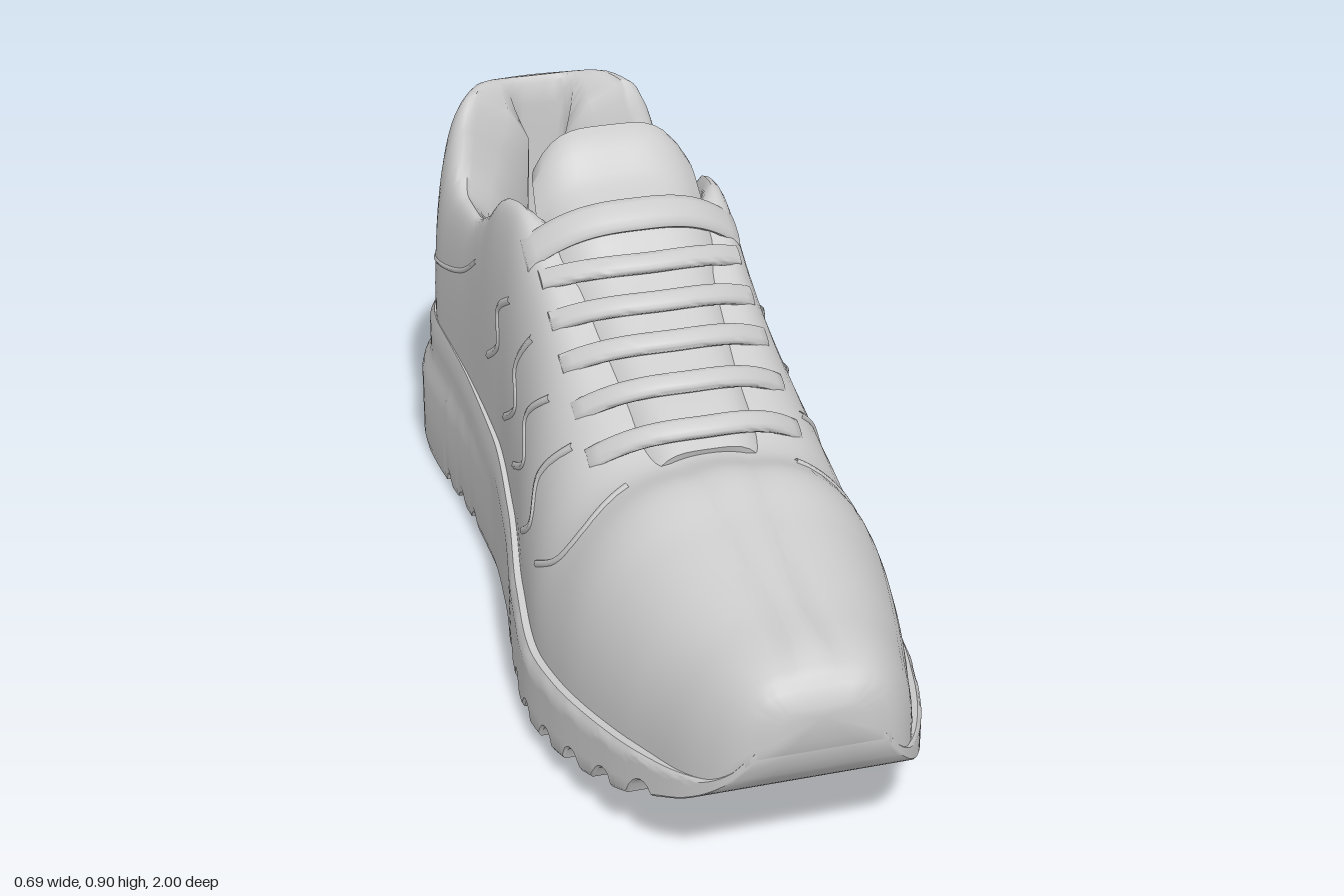
import * as THREE from 'three';
import { toCreasedNormals } from 'three/addons/utils/BufferGeometryUtils.js';

const material = new THREE.MeshStandardMaterial({ color: 0xcccccc, side: THREE.DoubleSide });
const { lerp, smoothstep } = THREE.MathUtils;

// Smooth curve through [input, value] pairs, without overshoot
function curve(p) {
  const slope = p.slice(1).map((q, i) => (q[1] - p[i][1]) / (q[0] - p[i][0]));
  const m = p.map((_, i) => {
    if (i === 0) return slope[0];
    if (i === p.length - 1) return slope[i - 1];
    const a = slope[i - 1], b = slope[i];
    return a * b <= 0 ? 0 : (2 * a * b) / (a + b);
  });
  return (x) => {
    if (x <= p[0][0]) return p[0][1];
    if (x >= p[p.length - 1][0]) return p[p.length - 1][1];
    let i = 0;
    while (x > p[i + 1][0]) i++;
    const h = p[i + 1][0] - p[i][0], t = (x - p[i][0]) / h, t2 = t * t, t3 = t2 * t;
    return p[i][1] * (2 * t3 - 3 * t2 + 1) + p[i + 1][1] * (3 * t2 - 2 * t3)
      + h * (m[i] * (t3 - 2 * t2 + t) + m[i + 1] * (t3 - t2));
  };
}

// Skin over closed rings of [x, y, z] points; ends are capped unless closed to a line
function loft(name, rings, crease, capStart = true) {
  const n = rings[0].length, pos = rings.flat(2), index = [];
  for (let i = 0; i < rings.length - 1; i++) {
    for (let j = 0; j < n; j++) {
      const a = i * n + j, b = i * n + (j + 1) % n;
      index.push(a, b, b + n, a, b + n, a + n);
    }
  }
  for (const k of capStart ? [0, rings.length - 1] : [rings.length - 1]) {
    const c = pos.length / 3;
    for (let d = 0; d < 3; d++) pos.push(rings[k].reduce((s, p) => s + p[d], 0) / n);
    for (let j = 0; j < n; j++) {
      const a = k * n + j, b = k * n + (j + 1) % n;
      index.push(c, k === 0 ? b : a, k === 0 ? a : b);
    }
  }
  const g = new THREE.BufferGeometry();
  g.setAttribute('position', new THREE.Float32BufferAttribute(pos, 3));
  g.setIndex(index);
  const mesh = new THREE.Mesh(toCreasedNormals(g, crease), material);
  mesh.name = name;
  return mesh;
}

// Half section (bottom centre to top centre) mirrored into a ring
const mirror = (half) => [...half, ...half.slice(1, -1).reverse().map(([x, y, z]) => [-x, y, z])];
const range = (a, b, n) => Array.from({ length: n + 1 }, (_, i) => lerp(a, b, i / n));
// Stations along z, bunched at the round heel
const stations = (back, mid, front, n) => [
  ...range(0, 0.99, 16).map((t) => lerp(mid, back, Math.cos(t * Math.PI / 2))),
  ...range(mid, front, n),
];

// ---- Sole curves ----
const soleSide = curve([[-0.72, 0.272], [-0.4, 0.262], [-0.2, 0.264], [0, 0.285], [0.2, 0.322], [0.38, 0.343],
  [0.5, 0.333], [0.7, 0.288], [0.85, 0.232], [0.95, 0.168], [0.985, 0.125], [1, 0.08]]);
const round = (s, mid, r) => (s < mid ? Math.sqrt(Math.max(0, 1 - ((mid - s) / r) ** 2)) : 1);
const soleW = (s) => soleSide(s) * round(s, -0.72, 0.28);
const soleTop = curve([[-1, 0.335], [-0.7, 0.325], [-0.4, 0.312], [-0.2, 0.298], [0, 0.25], [0.2, 0.195],
  [0.4, 0.168], [0.6, 0.18], [0.8, 0.2], [0.92, 0.22], [0.965, 0.25], [1, 0.325]]);
const soleBase = curve([[-1, 0.05], [-0.65, 0.0], [-0.3, 0.025], [0.1, 0.028], [0.4, 0.03], [0.6, 0.06],
  [0.75, 0.1], [0.85, 0.145], [0.9, 0.17], [0.97, 0.235], [1, 0.31]]);
const heelStep = curve([[0, 1], [0.5, 1], [0.62, 0.975], [0.72, 0.953], [0.92, 0.953], [1, 0.93]]);

// Rounded grooves across the outsole
function tread(s) {
  const on = (s > 0.14 && s < 0.875) || (s > -0.58 && s < -0.3);
  const depth = s > 0 ? 0.03 : 0.02;
  return on ? depth * Math.sqrt(Math.max(0, Math.sin(((s - 0.14) / 0.105) * Math.PI * 2) * 0.9 + 0.1)) : 0;
}

function makeSole() {
  const rings = stations(-1, -0.72, 0.99, 190).map((s) => {
    const top = soleTop(s), base = Math.min(soleBase(s) + tread(s), top - 0.008), w = soleW(s);
    const heel = 1 - smoothstep(s, -0.75, -0.1);
    const at = (x, v) => {
      const f = lerp(1 - 0.03 * smoothstep(v, 0.85, 1), heelStep(v), heel);
      return [x * f, lerp(base, top, v), s < 0 ? s * lerp(1, f, smoothstep(-s, 0, 0.72)) : s];
    };
    return mirror([at(0, 0), at(w * 0.5, 0), at(w * 0.985, 0),
      ...[0.06, 0.3, 0.5, 0.56, 0.62, 0.67, 0.72, 0.82, 0.92, 1].map((v) => at(w, v)),
      at(w * 0.85, 1), at(0, 1)]);
  });
  return loft('sole', rings, 0.6, false);
}

// ---- Upper curves ----
const rimY = curve([[-0.92, 0.785], [-0.82, 0.81], [-0.763, 0.805], [-0.715, 0.745], [-0.67, 0.665], [-0.6, 0.636],
  [-0.5, 0.638], [-0.37, 0.69], [-0.27, 0.765], [-0.19, 0.78], [-0.05, 0.71], [0.1, 0.625], [0.25, 0.555],
  [0.38, 0.51], [0.48, 0.53], [0.6, 0.498], [0.8, 0.453], [0.92, 0.436], [0.975, 0.415], [1, 0.375]]);
const rimRatio = curve([[-0.92, 0.62], [-0.76, 0.66], [-0.6, 0.8], [-0.4, 0.82], [-0.18, 0.74], [0, 0.6],
  [0.2, 0.42], [0.45, 0.18], [0.8, 0.15], [0.95, 0.25], [1, 0.5]]);
const bulge = curve([[-0.92, 0.75], [-0.4, 0.75], [0, 0.95], [0.4, 0.95], [0.8, 0.88], [1, 0.8]]);
const openingX = curve([[-0.75, 0.03], [-0.7, 0.085], [-0.62, 0.125], [-0.5, 0.155], [-0.28, 0.168]]);
const heelBack = curve([[0.4, 0.92], [0.5, 0.902], [0.65, 0.87], [0.8, 0.83]]);
// Leans the heel forward as it rises
const lean = (s, y) => (s < -0.4 ? -0.4 + (s + 0.4) * (heelBack(y) - 0.4) / 0.52 : s);

function section(s) {
  const inset = lerp(0.018, 0.024, smoothstep(s, -0.2, 0.4)) * (1 - smoothstep(s, 0.75, 1));
  const wb = (soleSide(Math.max(s, -0.66)) - inset) * round(s, -0.66, 0.26);
  return { wb, wr: wb * rimRatio(s), yb: soleTop(s) - 0.015, yr: rimY(s), e: bulge(s) };
}
// Half width of the outer wall at a given height
function wallX(s, y) {
  const { wb, wr, yb, yr, e } = section(s);
  const sin = THREE.MathUtils.clamp((y - yb) / (yr - yb), 0, 1) ** (1 / e);
  return wr + (wb - wr) * Math.sqrt(1 - sin * sin) ** e;
}

function makeUpper() {
  const rings = stations(-0.92, -0.66, 1, 110).map((s) => {
    const { wb, wr, yb, yr, e } = section(s);
    const half = [[0, yb], [wb * 0.6, yb]];
    for (const a of range(0, Math.PI / 2, 14)) {
      half.push([wr + (wb - wr) * Math.max(0, Math.cos(a)) ** e, yb + (yr - yb) * Math.sin(a) ** e]);
    }
    // Past the rim: a closed roof, or the lined foot opening
    const open = smoothstep(s, -0.88, -0.73) * (1 - smoothstep(s, -0.24, -0.1));
    const wi = Math.min(wr * 0.84, openingX(s)), crown = 0.01 * smoothstep(s, 0, 0.4) * (1 - smoothstep(s, 0.9, 1));
    const lining = [[wr * 0.95, yr - 0.012], [lerp(wr, wi, 0.6), yr - 0.045], [wi, yr - 0.13], [wi, lerp(yr, 0.3, 0.6)],
      [wi * 0.95, 0.31], [wi * 0.5, 0.295], [0, 0.295]];
    [0.9, 0.78, 0.65, 0.5, 0.33, 0.16, 0].forEach((q, i) => half.push([
      lerp(wr * q, lining[i][0], open), lerp(yr + crown * (1 - q * q), lining[i][1], open)]));
    return mirror(half.map(([x, y]) => [x, y, lean(s, y)]));
  });
  return loft('upper', rings, 0.9, false);
}

// ---- Tongue ----
const tongueY = curve([[-0.27, 0.897], [-0.24, 0.885], [-0.17, 0.82], [-0.08, 0.785], [0, 0.722], [0.1, 0.663],
  [0.2, 0.612], [0.3, 0.57], [0.4, 0.52]]);
const tongueW = curve([[-0.27, 0.145], [-0.24, 0.156], [-0.15, 0.164], [0, 0.15], [0.4, 0.12]]);

function makeTongue() {
  const rings = range(-0.265, 0.38, 40).map((z) => {
    const arch = (q, d) => [q * tongueW(z) * (1 - 0.1 * d), tongueY(z) - 0.075 * Math.abs(q) ** 4 - d * 0.07, z - d * 0.035];
    return mirror([...range(0, 1, 8).map((q) => arch(q, 1)), ...range(1, 0, 8).map((q) => arch(q, 0))]);
  });
  return loft('tongue', rings, 0.8);
}

// ---- Laces: flat bands arched over the tongue, ends swept back ----
function makeLace(z, halfW, width, thick, sweep) {
  const mid = tongueY(z) + 0.014, zEnd = z - sweep;
  let end = section(zEnd).yb;
  while (wallX(zEnd, end) > halfW && end < rimY(zEnd)) end += 0.005;
  const rings = range(-1, 1, 24).map((t) => {
    const y = lerp(mid, end - 0.008, Math.abs(t) ** 2.6), zc = z - sweep * t * t;
    return range(0, 1, 12).slice(0, 12).map((k) => {
      const a = k * Math.PI * 2;
      const u = Math.sign(Math.cos(a)) * Math.abs(Math.cos(a)) ** 0.6 * thick;
      const v = Math.sin(a) * width;
      return [t * halfW, y + u * 0.87 - v * 0.5, zc + u * 0.5 + v * 0.87];
    });
  });
  return loft('lace', rings, 0.9);
}

// ---- Raised lines on both side walls, given as [z, y] points ----
function makeSeams(name, points, radius) {
  const group = new THREE.Group();
  group.name = name;
  const path = new THREE.SplineCurve(points.map(([z, y]) => new THREE.Vector2(z, y))).getPoints(24);
  for (const side of [1, -1]) {
    const line = path.map(({ x: s, y }) => new THREE.Vector3(side * (wallX(s, y) - radius * 0.5), y, lean(s, y)));
    const tube = new THREE.TubeGeometry(new THREE.CatmullRomCurve3(line), 40, radius, 6);
    group.add(new THREE.Mesh(tube, material));
  }
  return group;
}

export function createModel() {
  const model = new THREE.Group();
  model.name = 'sneaker';
  model.add(makeSole(), makeUpper(), makeTongue());

  const laces = new THREE.Group();
  laces.name = 'laces';
  for (const [z, w] of [[0.35, 0.2], [0.255, 0.2], [0.165, 0.197], [0.085, 0.195], [0.01, 0.193]]) {
    laces.add(makeLace(z, w, 0.022, 0.011, 0.06));
  }
  laces.add(makeLace(-0.07, 0.207, 0.036, 0.014, 0.045));
  model.add(laces);

  // Heel panel, toe panel and midfoot folds
  model.add(makeSeams('heelSeam', [[-0.39, 0.585], [-0.5, 0.52], [-0.65, 0.47], [-0.82, 0.445], [-0.86, 0.53]], 0.006));
  model.add(makeSeams('toeSeam', [[0.4, 0.49], [0.41, 0.42], [0.38, 0.35], [0.3, 0.3]], 0.008));
  for (const points of [
    [[0.25, 0.5], [0.2, 0.42], [0.22, 0.34], [0.16, 0.29]],
    [[0.13, 0.54], [0.06, 0.47], [0.1, 0.4], [0, 0.34]],
    [[0, 0.6], [-0.05, 0.52], [-0.02, 0.45], [-0.12, 0.38]],
    [[-0.13, 0.62], [-0.2, 0.57], [-0.19, 0.5], [-0.27, 0.44]],
  ]) model.add(makeSeams('midfootFold', points, 0.009));
  return model;
}
